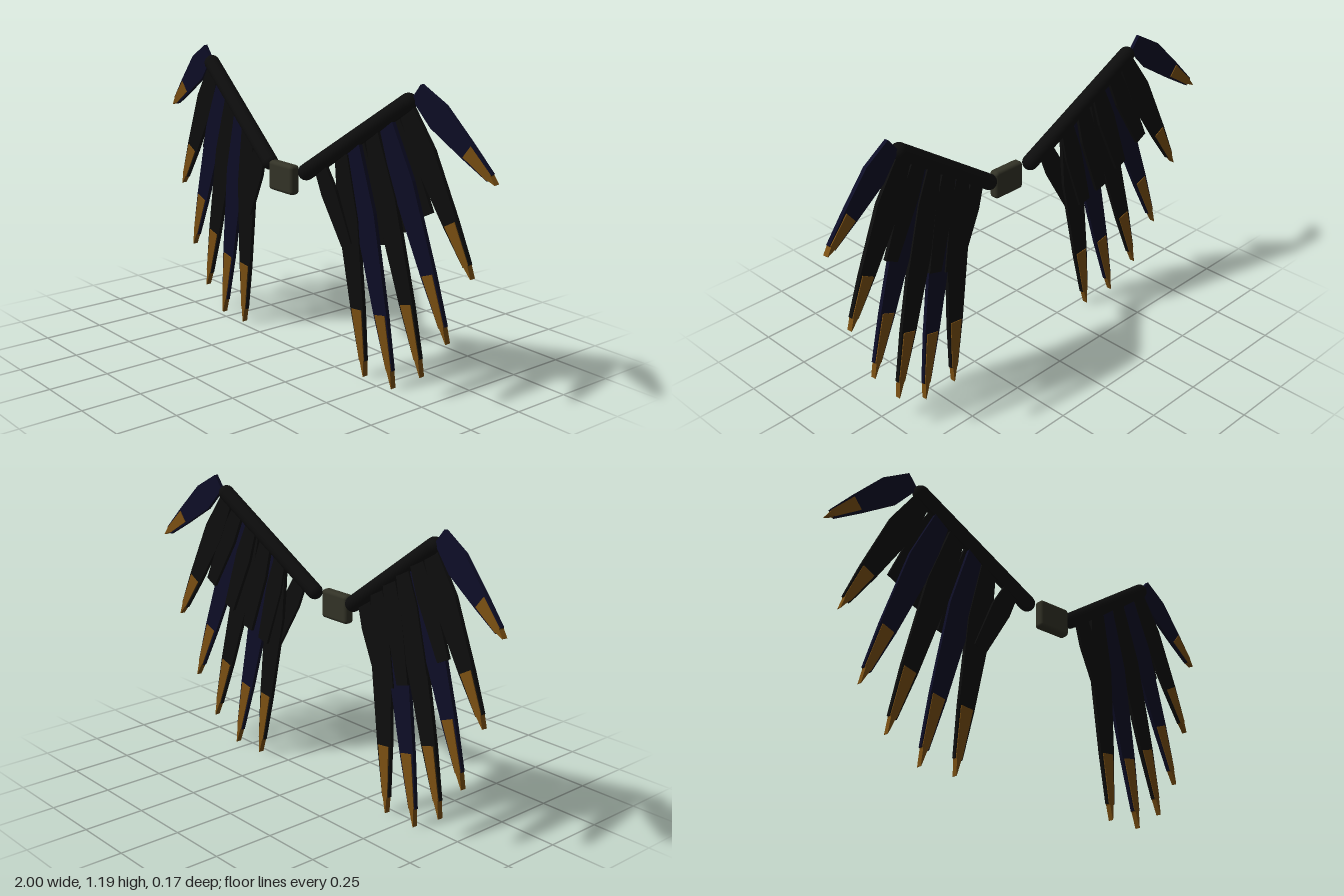
import * as THREE from 'three';
import { RoundedBoxGeometry } from 'three/addons/geometries/RoundedBoxGeometry.js';

const mat = (name, color) => {
  const m = new THREE.MeshStandardMaterial({ color });
  m.name = name;
  return m;
};

// flat symmetric plate: rows of [distance along -y, half width]
function plate(rows, thickness) {
  const right = rows.map(([d, w]) => new THREE.Vector2(w, -d));
  const left = rows.map(([d, w]) => new THREE.Vector2(-w, -d)).reverse();
  const shape = new THREE.Shape([...left, ...right]);
  const geo = new THREE.ExtrudeGeometry(shape, { depth: thickness, bevelEnabled: false });
  return geo.translate(0, 0, -thickness / 2);
}

// place a group at root with its -y axis aimed at tip and its face towards the front
function aim(obj, root, tip) {
  const y = root.clone().sub(tip).normalize();
  const x = y.clone().cross(new THREE.Vector3(0, 0, 1)).normalize();
  const z = x.clone().cross(y);
  obj.quaternion.setFromRotationMatrix(new THREE.Matrix4().makeBasis(x, y, z));
  obj.position.copy(root);
}

// long feathers from outermost to innermost: root, tip, where the gold begins
const FEATHERS = [
  { root: [0.65, 1.165, -0.034], tip: [1.0, 0.885, -0.08], gold: 0.65 },
  { root: [0.6, 1.1, -0.03], tip: [0.917, 0.53, -0.067], gold: 0.68 },
  { root: [0.515, 1.04, -0.012], tip: [0.818, 0.26, -0.055], gold: 0.69 },
  { root: [0.445, 0.99, -0.008], tip: [0.7, 0.095, -0.045], gold: 0.7 },
  { root: [0.36, 0.935, 0.008], tip: [0.558, 0.005, -0.034], gold: 0.695 },
  { root: [0.3, 0.885, 0.013], tip: [0.4, 0.005, -0.03], gold: 0.69 },
];

// short blunt feathers behind the long ones
const COVERTS = [
  { root: [0.19, 0.825, 0.03], tip: [0.325, 0.53, 0.004] },
  { root: [0.29, 0.89, 0.004], tip: [0.385, 0.52, -0.018] },
  { root: [0.37, 0.945, -0.008], tip: [0.475, 0.56, -0.03] },
  { root: [0.45, 1.0, -0.02], tip: [0.585, 0.63, -0.042] },
  { root: [0.53, 1.055, -0.03], tip: [0.7, 0.72, -0.052] },
];

export function createModel() {
  const black = mat('black', 0x0d0d0d);
  const navy = mat('navy', 0x0d0d26);
  const gold = mat('gold', 0x7a4f12);
  const olive = mat('olive grey', 0x333327);

  const model = new THREE.Group();
  model.name = 'mechanicalWings';

  const add = (parent, name, geo, material) => {
    const mesh = new THREE.Mesh(geo, material);
    mesh.name = name;
    parent.add(mesh);
    return mesh;
  };

  // centre mount
  add(model, 'centreMount', new RoundedBoxGeometry(0.15, 0.12, 0.045, 3, 0.015), olive)
    .position.set(0, 0.745, 0.06);

  for (const side of [1, -1]) {
    const wing = new THREE.Group();
    wing.name = side > 0 ? 'leftWing' : 'rightWing';
    model.add(wing);
    const point = ([x, y, z]) => new THREE.Vector3(x * side, y, z);

    // rounded arm along the leading edge
    const a = point([0.117, 0.785, 0.04]);
    const b = point([0.613, 1.123, -0.026]);
    const arm = add(wing, 'arm', new THREE.CapsuleGeometry(0.033, a.distanceTo(b), 8, 20), black);
    arm.position.copy(a).lerp(b, 0.5);
    arm.quaternion.setFromUnitVectors(new THREE.Vector3(0, 1, 0), b.clone().sub(a).normalize());

    // long feathers with gold tips
    FEATHERS.forEach((f, i) => {
      const root = point(f.root);
      const tip = point(f.tip);
      const len = root.distanceTo(tip);
      const feather = new THREE.Group();
      feather.name = 'feather' + (i + 1);
      add(feather, 'blade', plate([
        [0, 0.036], [len * 0.28, 0.057], [len * f.gold, 0.037], [len * 0.925, 0.018],
      ], 0.016), i % 2 ? black : navy);
      add(feather, 'goldTip', plate([
        [len * f.gold, 0.028], [len * 0.92, 0.014], [len * 0.93, 0.01], [len, 0.001],
      ], 0.023), gold);
      aim(feather, root, tip);
      wing.add(feather);
    });

    // short covert feathers
    COVERTS.forEach((c, i) => {
      const root = point(c.root);
      const tip = point(c.tip);
      const len = root.distanceTo(tip);
      const covert = add(wing, 'covert' + (i + 1), plate([
        [0, 0.034], [len * 0.35, 0.045], [len, 0.03],
      ], 0.014), black);
      aim(covert, root, tip);
    });
  }
  return model;
}
